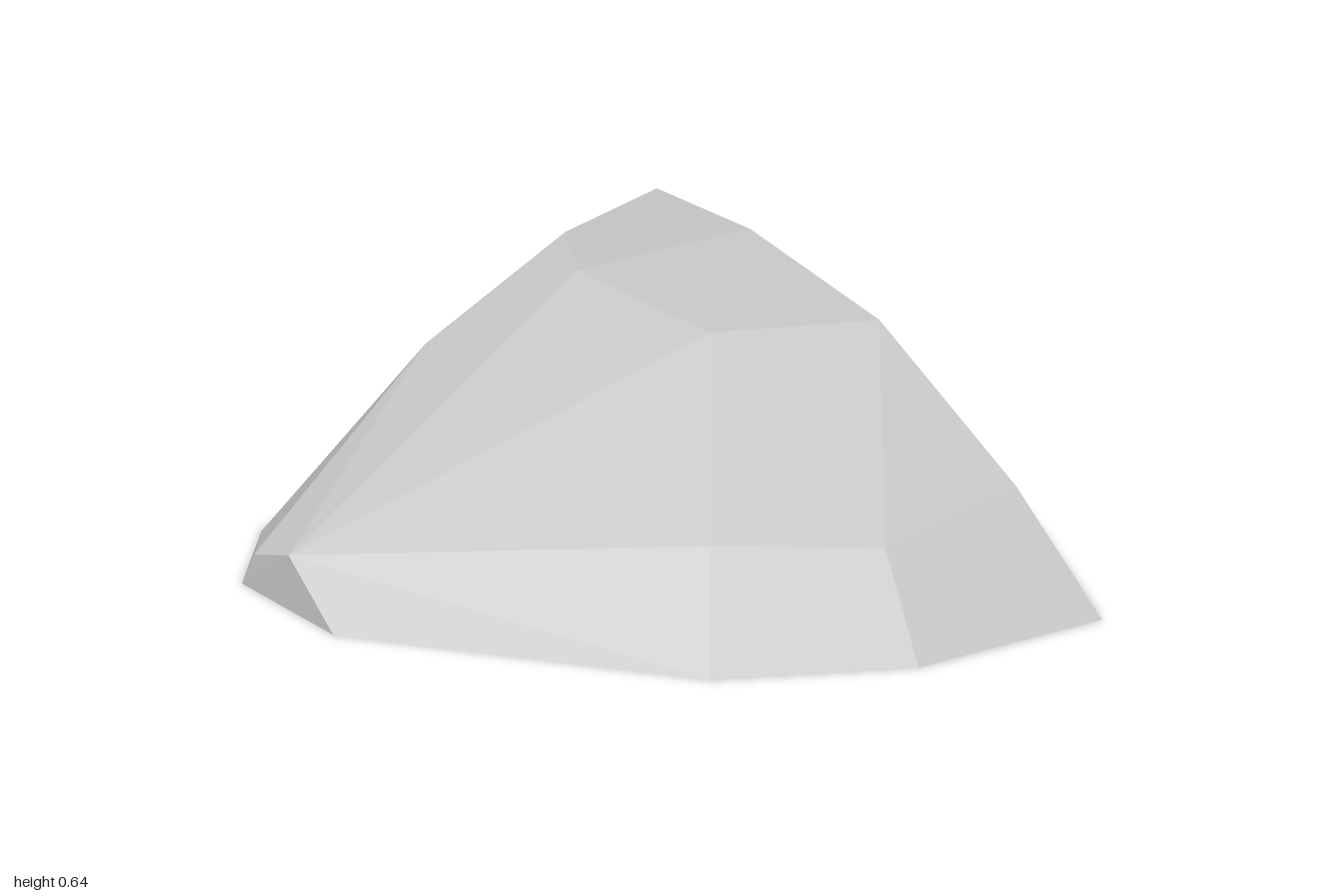
import * as THREE from 'three';
import { ConvexGeometry } from 'three/addons/geometries/ConvexGeometry.js';

export function createModel() {
  const group = new THREE.Group();
  group.name = 'rock';
  const stone = new THREE.MeshStandardMaterial({ color: 0xc7c7c7 });
  stone.name = 'pale stone grey';

  const back = -0.885, front = 0.88, side = -1;

  // Flat footprint on the ground
  const base = [
    [1, 0, back], [0.873, 0, -0.29], [0.535, 0, 0.22], [-0.385, 0, front],
    [-0.795, 0, front], [side, 0, 0.63], [side, 0, 0.365], [0.78, 0, back],
  ];
  // Sheared back and side walls, with the underside rising to their shared corner
  const walls = [
    [side, 0.47, back], [side, 0.6, back], [-0.58, 0.64, back], [0, 0.58, back],
    [0.615, 0.283, back], [side, 0.58, -0.535], [side, 0.4, 0],
  ];
  // Chiselled crown, shoulder and nose
  const crown = [
    [-0.79, 0.588, -0.4], [-0.26, 0.582, -0.455], [0.595, 0.24, -0.4],
    [0.28, 0.26, 0], [-0.58, 0.185, 0.885], [-0.74, 0.12, front],
  ];

  const points = [...base, ...walls, ...crown].map((p) => new THREE.Vector3(...p));
  const boulder = new THREE.Mesh(new ConvexGeometry(points), stone);
  boulder.name = 'boulder';
  group.add(boulder);
  return group;
}
